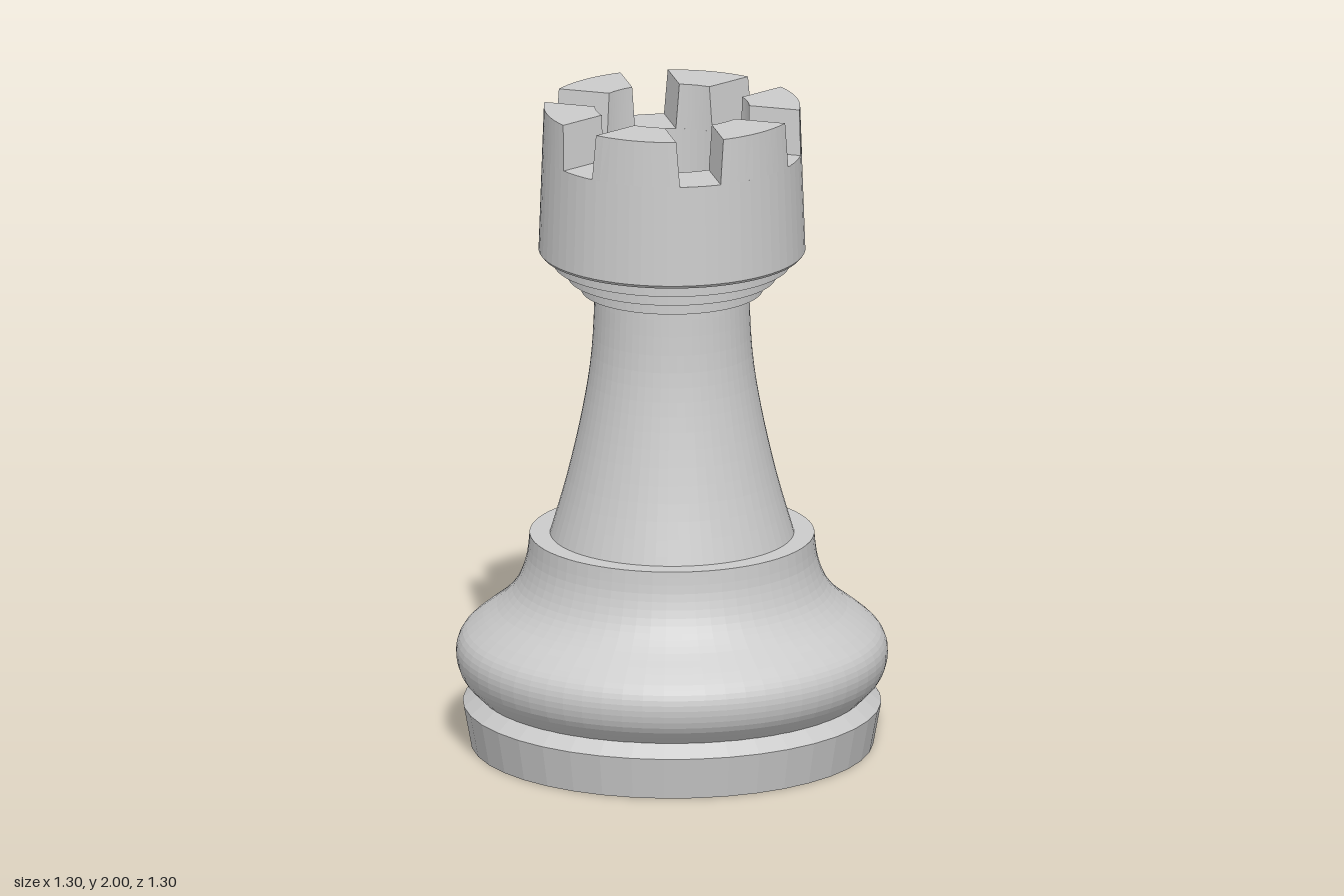
import * as THREE from 'three';

const material = new THREE.MeshStandardMaterial({ color: 0xcccccc, flatShading: true });

const V = (pts) => pts.map(([r, y]) => new THREE.Vector2(r, y));
const smooth = (pts, n) => new THREE.SplineCurve(V(pts)).getPoints(n);

// Turned part: profile listed from the bottom axis up to the top axis
function turned(name, profile, segments = 64) {
  const mesh = new THREE.Mesh(new THREE.LatheGeometry(profile, segments), material);
  mesh.name = name;
  return mesh;
}

const HOLE = 0.233, SLOT_Y = 1.86, TOP_Y = 2;
const lerp = THREE.MathUtils.lerp;

// One battlement: a box bent round the head, its sides parallel to the slots
function battlementGeometry() {
  const g = new THREE.BoxGeometry(2, 1, 1, 10, 1, 1);
  const p = g.attributes.position;
  for (let i = 0; i < p.count; i++) {
    const t = p.getY(i) + 0.5;
    const r = lerp(HOLE, lerp(0.392, 0.387, t), p.getZ(i) + 0.5);
    const halfSlot = lerp(0.063, 0.073, t);
    const a = p.getX(i) * (Math.PI / 6 - Math.asin(halfSlot / r));
    p.setXYZ(i, r * Math.sin(a), lerp(SLOT_Y, TOP_Y, t), r * Math.cos(a));
  }
  g.computeVertexNormals();
  return g;
}

export function createModel() {
  const model = new THREE.Group();
  model.name = 'rook';

  // Plinth with a bevelled top edge
  model.add(turned('plinth', V([[0, 0], [0.608, 0], [0.632, 0.13], [0.585, 0.17], [0, 0.17]]), 40));

  // Bulging base that sweeps up to a flat shoulder
  model.add(turned('base', [
    ...V([[0, 0.165]]),
    ...smooth([[0.585, 0.165], [0.635, 0.22], [0.652, 0.285], [0.637, 0.34], [0.59, 0.385],
      [0.52, 0.44], [0.47, 0.5], [0.44, 0.58], [0.43, 0.66]], 28),
    ...V([[0, 0.66]]),
  ]));

  // Tapering stem
  model.add(turned('stem', [
    ...V([[0, 0.65]]),
    ...smooth([[0.37, 0.655], [0.317, 0.84], [0.27, 1.05], [0.243, 1.23], [0.233, 1.43]], 16),
    ...V([[0, 1.43]]),
  ]));

  // Stepped collar under the head
  model.add(turned('collar', V([[0, 1.425], [0.275, 1.425], [0.275, 1.465], [0.315, 1.465],
    [0.315, 1.505], [0.357, 1.505], [0.357, 1.55], [0, 1.55]])));

  // Hollow head
  model.add(turned('head', V([[0, 1.543], [0.396, 1.543], [0.403, 1.552], [0.392, SLOT_Y],
    [HOLE, SLOT_Y], [HOLE, 1.6], [0, 1.6]])));

  // Six battlements
  const battlement = battlementGeometry();
  const crown = new THREE.Group();
  crown.name = 'battlements';
  for (let i = 0; i < 6; i++) {
    const mesh = new THREE.Mesh(battlement, material);
    mesh.name = 'battlement';
    mesh.rotation.y = (i * Math.PI) / 3;
    crown.add(mesh);
  }
  model.add(crown);
  return model;
}
